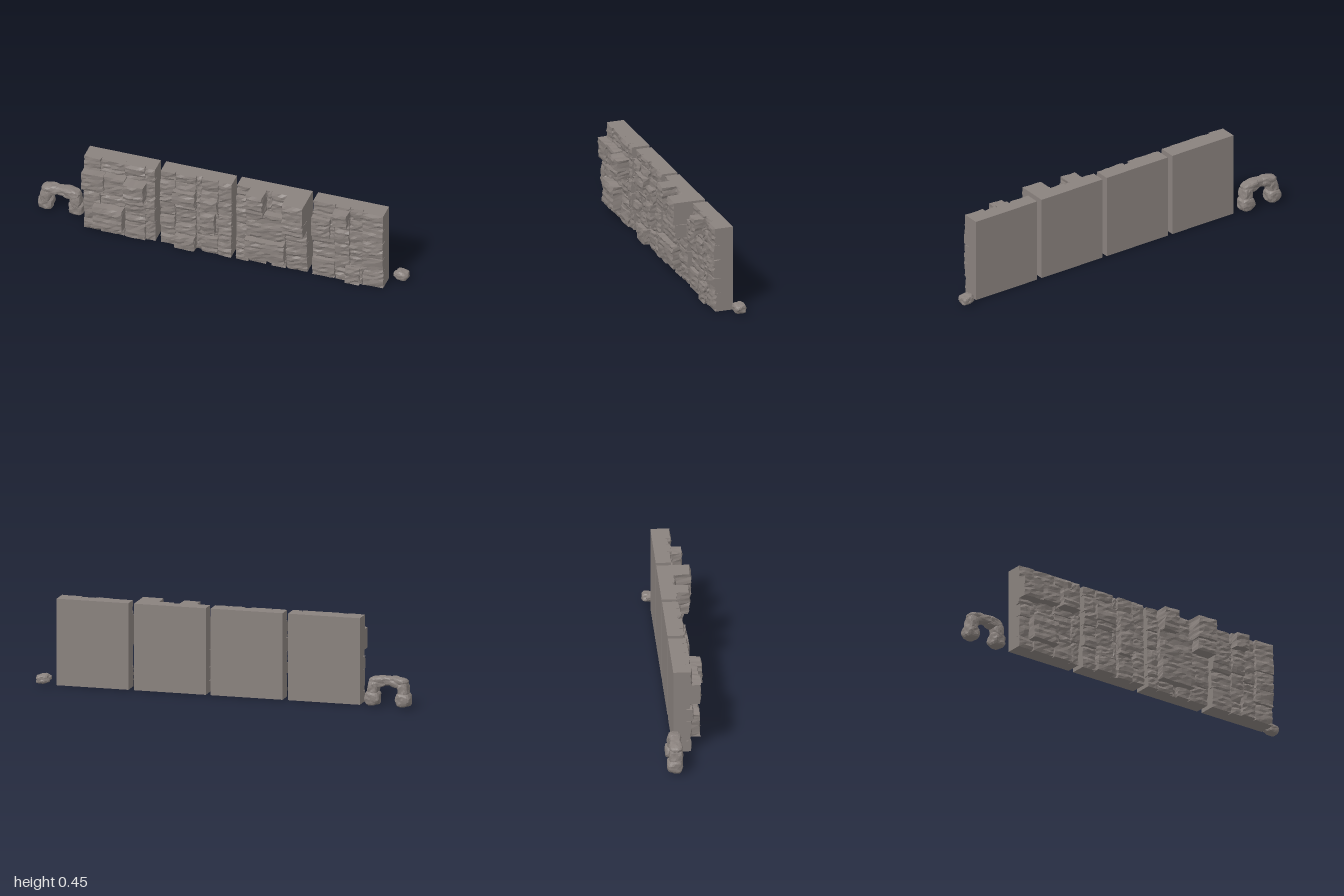
import * as THREE from 'three';

const stone = new THREE.MeshStandardMaterial({ color: 0x8a827e });
stone.name = 'grey stone';

const W = 0.382, H = 0.452, BACK = -0.063, CORE = 0.004;

// Repeatable value in -1..1 from a position, so shared corners move together
function hash(x, y, z, seed = 0) {
  const q = (v) => Math.round(v * 2000);
  const s = Math.sin(q(x) * 12.9898 + q(y) * 78.233 + q(z) * 37.719 + seed * 11.13) * 43758.5453;
  return (s - Math.floor(s)) * 2 - 1;
}

function facet(geometry) {
  const g = geometry.index ? geometry.toNonIndexed() : geometry;
  g.computeVertexNormals();
  return g;
}

function addMesh(parent, geometry, name) {
  const mesh = new THREE.Mesh(geometry, stone);
  mesh.name = name;
  parent.add(mesh);
  return mesh;
}

// Rough masonry block with layered front, trimmed flush at the panel border
function blockGeometry(x0, y0, x1, y1, front, seed) {
  const gap = 0.0015;
  const w = x1 - x0 - 2 * gap, h = y1 - y0 - 2 * gap, d = front - CORE + 0.02;
  const nx = Math.max(3, Math.ceil(w / 0.03)), ny = Math.max(3, Math.ceil(h / 0.016));
  const g = new THREE.BoxGeometry(w, h, d, nx, ny, 2);
  g.translate((x0 + x1) / 2, (y0 + y1) / 2, front - d / 2);
  const p = g.attributes.position;
  const tilt = hash(x0, y0, 0, seed) * 0.035, lean = hash(x1, y1, 1, seed) * 0.05;
  for (let i = 0; i < p.count; i++) {
    const ox = p.getX(i), oy = p.getY(i), oz = p.getZ(i);
    const edge = Math.min(ox - x0, x1 - ox, oy - y0, y1 - oy) < gap * 1.1;
    let x = ox + hash(ox, oy, oz, seed + 1) * 0.0035;
    let y = oy + hash(ox, oy, oz, seed + 2) * 0.003;
    let z = oz;
    if (oz > front - 1e-5) {
      z += hash(0, oy, 0, seed + 3) * 0.003 + hash(ox, oy, oz, seed + 4) * 0.003;
      z += (ox - (x0 + x1) / 2) * tilt + (oy - (y0 + y1) / 2) * lean;
      if (edge) z -= 0.004;
    }
    // straight outer sides
    if (x0 === 0 && ox < gap * 1.1) x = 0;
    if (x1 === W && ox > W - gap * 1.1) x = W;
    if (y0 === 0 && oy < gap * 1.1) y = 0;
    if (y1 === H && oy > H - gap * 1.1) y = H;
    p.setXYZ(i, x, y, z);
  }
  return facet(g);
}

// Column joints, and the big stones (left, bottom, right, top, front z), in hundredths
const panels = [
  { x: -0.718, joints: [0, 9, 22, 33, 38], bigStones: [
    [0, 27, 12, 38, 8], [12, 28, 23, 38, 7.5], [23, 27, 34, 37, 10.2], [6, 5, 22, 18, 8]] },
  { x: -0.307, joints: [0, 8, 19, 22, 31, 38], bigStones: [
    [7, 28, 19, 36, 5.5], [22, 26, 31, 34, 5], [22, 13, 30, 26, 5.5], [8, 0, 19, 8, 5.3]] },
  { x: 0.101, joints: [0, 7, 16, 19, 27, 38], bigStones: [
    [7, 33, 16, 45, 8.8], [27, 33, 38, 45, 11], [27, 26, 38, 33, 10.2],
    [6, 17, 27, 33, 5.2], [6, 5, 27, 17, 7.8]] },
  { x: 0.512, joints: [0, 12, 20, 27, 38], bigStones: [
    [12, 36, 20, 44, 8], [0, 25, 10, 37, 5], [18, 0, 26, 10, 5.2]] }
];

function buildPanel({ x, joints, bigStones }, index) {
  const panel = new THREE.Group();
  panel.name = 'wallPanel' + (index + 1);
  panel.position.x = x;
  const slab = new THREE.BoxGeometry(W, H, CORE - BACK);
  slab.translate(W / 2, H / 2, (CORE + BACK) / 2);
  addMesh(panel, slab, 'backingSlab');
  const across = (v) => (v === 38 ? W : v / 100);
  const up = (v) => (v === 45 ? H : v / 100);

  // Ordinary stones stacked in columns; narrow columns are sunken cracks
  for (let c = 0; c + 1 < joints.length; c++) {
    const sunken = joints[c + 1] - joints[c] < 4;
    for (let y = 0, row = 0; y < 45; row++) {
      const seed = index * 40 + c * 7 + row;
      const next = y + Math.round(9 + 3 * hash(c, row, index, 5));
      const top = next > 40 ? 45 : next;
      const front = sunken ? 0.014 : 0.033 + 0.01 * hash(c, row, index, 6) - (top === 45 ? 0.005 : 0);
      addMesh(panel, blockGeometry(across(joints[c]), up(y), across(joints[c + 1]), up(top), front, seed), 'stoneBlock');
      y = top;
    }
  }
  bigStones.forEach(([a, b, c, d, front], i) => {
    const geometry = blockGeometry(across(a), up(b), across(c), up(d), front / 100, index * 31 + i + 200);
    addMesh(panel, geometry, 'protrudingStone');
  });
  return panel;
}

// Squarish boulder with chipped facets
function boulder(parent, name, [x, y, z], [w, h, d], seed, roll = 0) {
  const g = new THREE.IcosahedronGeometry(1, 3);
  const p = g.attributes.position;
  for (let i = 0; i < p.count; i++) {
    const v = new THREE.Vector3().fromBufferAttribute(p, i);
    const n = Math.pow(v.x ** 4 + v.y ** 4 + v.z ** 4, -0.25);
    const lump = Math.sin(v.x * 4 + seed) * Math.sin(v.y * 5 + seed * 2) * Math.cos(v.z * 4 - seed);
    const k = n * (0.95 + 0.08 * lump + 0.035 * hash(v.x, v.y, v.z, seed));
    p.setXYZ(i, v.x * k * w / 2, v.y * k * h / 2, v.z * k * d / 2);
  }
  const mesh = addMesh(parent, facet(g), name);
  mesh.position.set(x, y, z);
  mesh.rotation.z = roll;
}

export function createModel() {
  const model = new THREE.Group();
  model.name = 'stoneWallSet';
  panels.forEach((panel, i) => model.add(buildPanel(panel, i)));

  // Small rock arch beside the panels, with two matching legs
  const arch = new THREE.Group();
  arch.name = 'rockArch';
  arch.position.set(-0.872, 0, -0.067);
  for (const [side, label, seed] of [[1, 'left', 1], [-1, 'right', 4]]) {
    boulder(arch, label + 'Foot', [side * 0.082, 0.045, -0.005], [0.082, 0.075, 0.083], seed);
    boulder(arch, label + 'Post', [side * 0.08, 0.092, 0.001], [0.061, 0.095, 0.074], seed + 1, side * 0.13);
    boulder(arch, label + 'Lintel', [side * 0.054, 0.13, 0.002], [0.102, 0.059, 0.068], seed + 2, side * -0.17);
  }
  boulder(arch, 'middleLintel', [0.01, 0.137, 0.004], [0.11, 0.048, 0.058], 7);
  model.add(arch);

  // Loose stone at the other end
  boulder(model, 'looseRock', [0.962, 0.033, -0.072], [0.072, 0.05, 0.065], 8, -0.15);
  boulder(model, 'looseRockTip', [0.935, 0.038, -0.064], [0.03, 0.024, 0.04], 9);
  return model;
}
